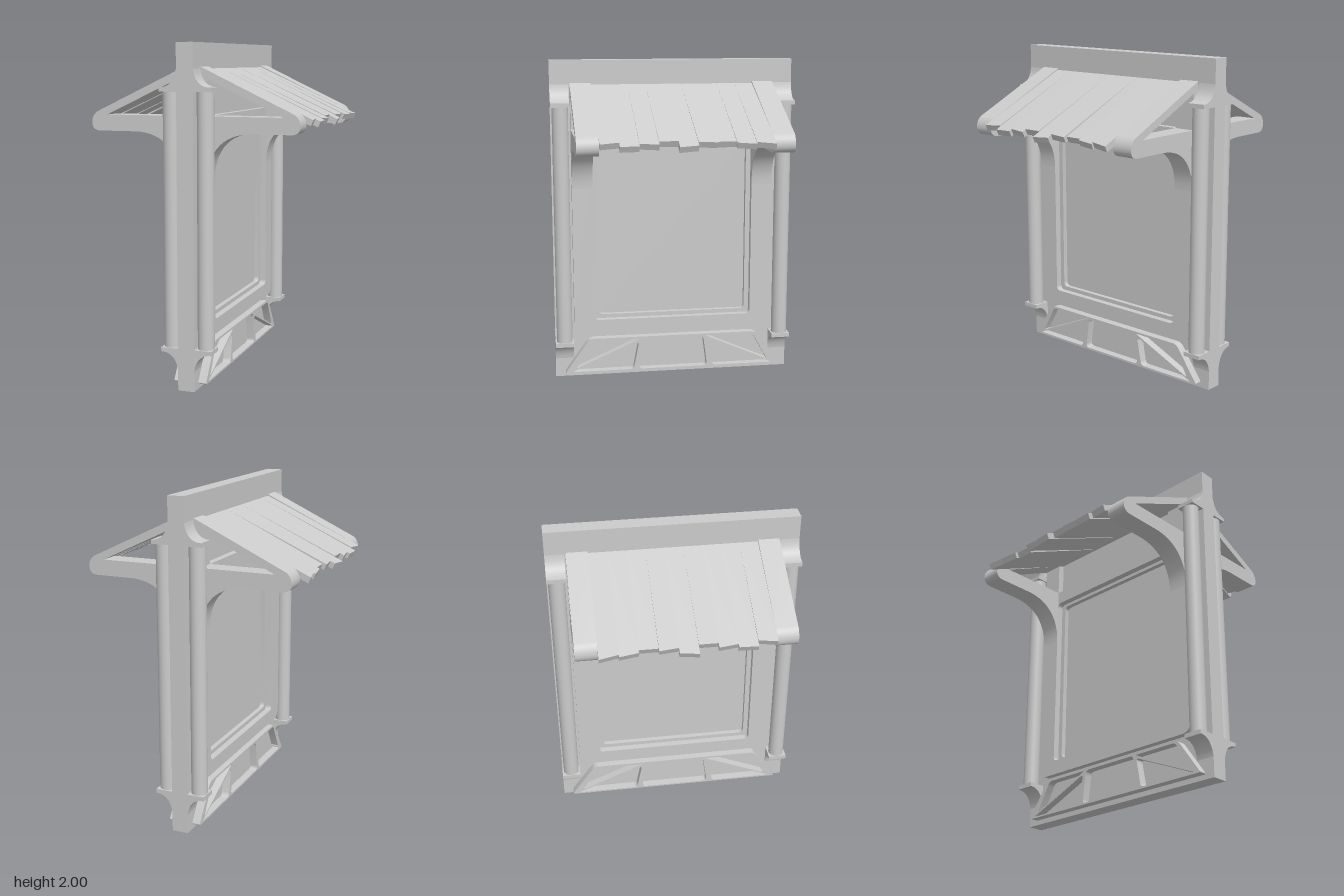
import * as THREE from 'three';
import { toCreasedNormals } from 'three/addons/utils/BufferGeometryUtils.js';

const material = new THREE.MeshStandardMaterial({ color: 0xcccccc });

function part(name, geometry, parent) {
  const mesh = new THREE.Mesh(geometry, material);
  mesh.name = name;
  parent.add(mesh);
  return mesh;
}

// Polygon with rounded corners; each point is [x, y, radius]
function rounded(points, Type = THREE.Shape) {
  const path = new Type();
  const n = points.length;
  points.forEach(([x, y, r = 0], i) => {
    const p = new THREE.Vector2(x, y);
    const toward = ([qx, qy]) => {
      const d = new THREE.Vector2(qx, qy).sub(p);
      return d.setLength(Math.min(r, d.length() / 2)).add(p);
    };
    const a = toward(points[(i + n - 1) % n]);
    const b = toward(points[(i + 1) % n]);
    if (i === 0) path.moveTo(a.x, a.y);
    else path.lineTo(a.x, a.y);
    if (r > 0) path.quadraticCurveTo(x, y, b.x, b.y);
  });
  path.closePath();
  return path;
}

const rect = (w, y0, y1, r, Type) =>
  rounded([[-w, y0, r], [w, y0, r], [w, y1, r], [-w, y1, r]], Type);

// Profile in x and y, running along z from z0 to z1
function alongZ(shape, z0, z1) {
  const g = new THREE.ExtrudeGeometry(shape, { depth: z1 - z0, bevelEnabled: false, curveSegments: 14 });
  return toCreasedNormals(g.translate(0, 0, z0), 0.6);
}

// Elevation in z and y, given thickness from x0 to x1
function alongX(shape, x0, x1) {
  return alongZ(shape, x0, x1).rotateY(Math.PI / 2);
}

// Flared moulding that carries or crowns a column
function flare(upward) {
  const y = (v) => (upward ? 1.725 + v : 0.25 - v);
  const s = new THREE.Shape();
  s.moveTo(0.04, y(0));
  s.lineTo(0.155, y(0));
  s.lineTo(0.155, y(0.025));
  s.lineTo(0.145, y(0.025));
  s.quadraticCurveTo(0.065, y(0.03), 0.05, y(0.13));
  s.lineTo(0.04, y(0.13));
  return s;
}

// Triangular roof bracket with a curved underside
function bracketShape() {
  const s = new THREE.Shape();
  s.moveTo(0.04, 1.868);
  s.lineTo(0.595, 1.605);
  s.bezierCurveTo(0.645, 1.58, 0.655, 1.49, 0.585, 1.49);
  s.lineTo(0.36, 1.49);
  s.bezierCurveTo(0.2, 1.49, 0.09, 1.4, 0.09, 1.22);
  s.lineTo(0.04, 1.22);
  s.closePath();
  s.holes.push(rounded([[0.09, 1.585], [0.535, 1.585], [0.09, 1.795]], THREE.Path));
  return s;
}

// Roof board whose lower end is cut askew, reaching x = a at z0 and x = b at z1
function plankGeometry(z0, z1, a, b, slope) {
  const g = new THREE.BoxGeometry(1, 1, 1);
  const p = g.attributes.position;
  for (let i = 0; i < p.count; i++) {
    const outer = p.getX(i) > 0, top = p.getY(i) > 0, front = p.getZ(i) > 0;
    let x = outer ? (front ? b : a) : 0.03;
    let y = 1.862 - slope * (x - 0.03);
    if (!top) { x -= 0.015; y -= 0.034; }
    p.setXYZ(i, x, y, front ? z1 : z0);
  }
  g.computeVertexNormals();
  return g;
}

// Lower-end reach of each board [at z0, at z1, slope]
const planks = [
  [0.70, 0.68, 0.455], [0.69, 0.675, 0.462], [0.655, 0.655, 0.47],
  [0.68, 0.67, 0.452], [0.695, 0.708, 0.462], [0.66, 0.66, 0.452],
  [0.682, 0.67, 0.46], [0.685, 0.688, 0.468], [0.66, 0.675, 0.456],
];

function buildSide(flip) {
  const side = new THREE.Group();
  side.name = flip ? 'rightSide' : 'leftSide';

  // Raised surround of the panel
  const surround = rect(0.628, 0.285, 1.585, 0.07);
  surround.holes.push(rect(0.5, 0.375, 1.5, 0.03, THREE.Path));
  part('panelSurround', alongX(surround, 0.04, 0.09), side);

  // Plinth with sunken pockets
  const plinth = rounded([[-0.695, 0.03, 0.02], [0.695, 0.03, 0.02], [0.535, 0.255, 0.03], [-0.535, 0.255, 0.03]]);
  plinth.holes.push(rounded([[-0.222, 0.04, 0.025], [0.222, 0.04, 0.025], [0.195, 0.242, 0.025], [-0.195, 0.242, 0.025]], THREE.Path));
  for (const s of [-1, 1]) {
    plinth.holes.push(rounded([[s * 0.52, 0.242, 0.025], [s * 0.21, 0.242, 0.015], [s * 0.62, 0.062, 0.015]], THREE.Path));
    plinth.holes.push(rounded([[s * 0.65, 0.04, 0.015], [s * 0.22, 0.222, 0.025], [s * 0.255, 0.04, 0.025]], THREE.Path));
  }
  part('plinth', alongX(plinth, 0.04, 0.1), side);

  // Columns, mouldings and brackets at both ends
  for (const s of [-1, 1]) {
    const z0 = s > 0 ? 0.635 : -0.75;
    const column = part('column', new THREE.CylinderGeometry(0.049, 0.049, 1.49, 32), side);
    column.position.set(0.103, 0.988, s * 0.692);
    part('columnCapital', alongZ(flare(true), z0, z0 + 0.115), side);
    part('columnBase', alongZ(flare(false), z0, z0 + 0.115), side);
    const b0 = s > 0 ? 0.5 : -0.628;
    part('roofBracket', alongZ(bracketShape(), b0, b0 + 0.128), side);
  }

  // Uneven roof boards, kept mirrored on the opposite side
  const w = 1 / planks.length;
  planks.forEach(([a, b, slope], i) => {
    const z = -0.5 + i * w;
    const g = flip ? plankGeometry(-z - w, -z, b, a, slope) : plankGeometry(z, z + w, a, b, slope);
    part('roofPlank', g, side);
  });

  if (flip) side.rotation.y = Math.PI;
  return side;
}

export function createModel() {
  const model = new THREE.Group();
  model.name = 'roofedPanel';

  // Central slab with an opening and a thinner panel inside it
  const slab = rect(0.75, 0, 2, 0);
  slab.holes.push(rect(0.47, 0.4, 1.48, 0.03, THREE.Path));
  part('slab', alongX(slab, -0.05, 0.05), model);
  const panel = part('panel', new THREE.BoxGeometry(0.04, 1.1, 0.96), model);
  panel.position.y = 0.94;

  model.add(buildSide(false), buildSide(true));
  return model;
}
